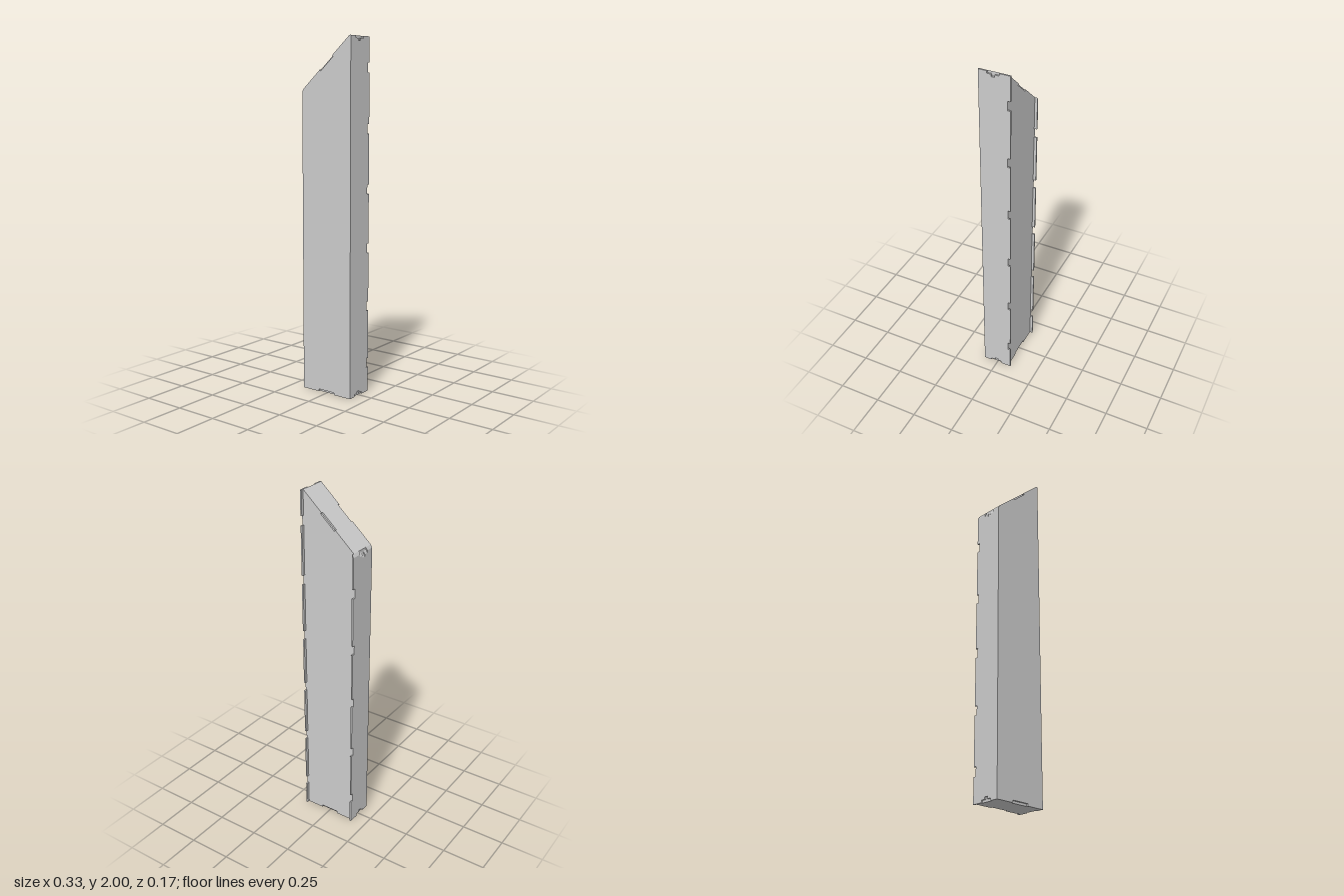
import * as THREE from 'three';

const W = 0.165, T = 0.009;            // half width and sheet thickness
const IN = W - T;                      // inner face of the side sheets
const FRONT = 0.0875, BACK = -0.0875, REAR = -0.072;
const LOW = 1.72, HIGH = 2;            // roof height at the two inner side faces
const SLOPE = (HIGH - LOW) / (2 * IN);
const roofY = x => LOW + (x + IN) * SLOPE;

const material = new THREE.MeshStandardMaterial({ color: 0xcccccc, flatShading: true });

function extrude(points, depth) {
  const shape = new THREE.Shape(points.map(p => new THREE.Vector2(p[0], p[1])));
  return new THREE.ExtrudeGeometry(shape, { depth, bevelEnabled: false });
}

function addMesh(group, name, geometry) {
  const mesh = new THREE.Mesh(geometry, material);
  mesh.name = name;
  group.add(mesh);
}

// Sloped-top sheet seen from the front, with a shallow recess at top and bottom
function facePanel(z, depth) {
  const len = Math.hypot(1, SLOPE);
  const nx = T * SLOPE / len, ny = -T / len;     // inward normal of the roof edge
  const g = extrude([
    [-IN, 0], [-0.055, 0], [-0.055, 0.013], [0.055, 0.013], [0.055, 0], [IN, 0],
    [IN, HIGH],
    [0.042, roofY(0.042)], [0.042 + nx, roofY(0.042) + ny],
    [-0.042 + nx, roofY(-0.042) + ny], [-0.042, roofY(-0.042)],
    [-IN, LOW]
  ], depth);
  return g.translate(0, 0, z);
}

// Side sheet: stepped recesses at both ends, a row of notches down the rear edge
function sidePanel(top, notchCount) {
  const step = [[-0.027, 0], [-0.027, 0.013], [-0.003, 0.013], [-0.003, 0.026],
    [0.017, 0.026], [0.017, 0.013], [0.041, 0.013], [0.041, 0]];
  const pts = [[BACK, 0], ...step, [FRONT, 0], [FRONT, top]];
  for (const [z, y] of [...step].reverse()) pts.push([z, top - y]);
  pts.push([BACK, top]);
  for (let i = notchCount - 1; i >= 0; i--) {
    const y = 0.143 + i * 0.333;
    pts.push([BACK, y + 0.053], [REAR, y + 0.053], [REAR, y], [BACK, y]);
  }
  return extrude(pts, T).rotateY(-Math.PI / 2);
}

export function createModel() {
  const group = new THREE.Group();
  group.name = 'slantedPanelBox';

  // Inner block carrying the sloped roof and the base
  const core = extrude([[-IN, 0], [IN, 0], [IN, HIGH], [-IN, LOW]], FRONT - REAR - 2 * T - 0.002);
  addMesh(group, 'core', core.translate(0, 0, REAR + T + 0.001));

  addMesh(group, 'frontPanel', facePanel(FRONT - T - 0.001, T + 0.001));
  addMesh(group, 'backPanel', facePanel(REAR, T + 0.001));

  // Tall side
  addMesh(group, 'leftSidePanel', sidePanel(HIGH, 6).translate(W, 0, 0));

  // Short side, its top end mitred down towards the outside
  const short = sidePanel(LOW, 5).translate(-IN, 0, 0);
  const p = short.attributes.position;
  for (let i = 0; i < p.count; i++) {
    if (p.getY(i) > 1.6 && p.getX(i) < -IN - T / 2) p.setY(i, p.getY(i) - 0.016);
  }
  short.computeVertexNormals();
  addMesh(group, 'rightSidePanel', short);

  return group;
}
